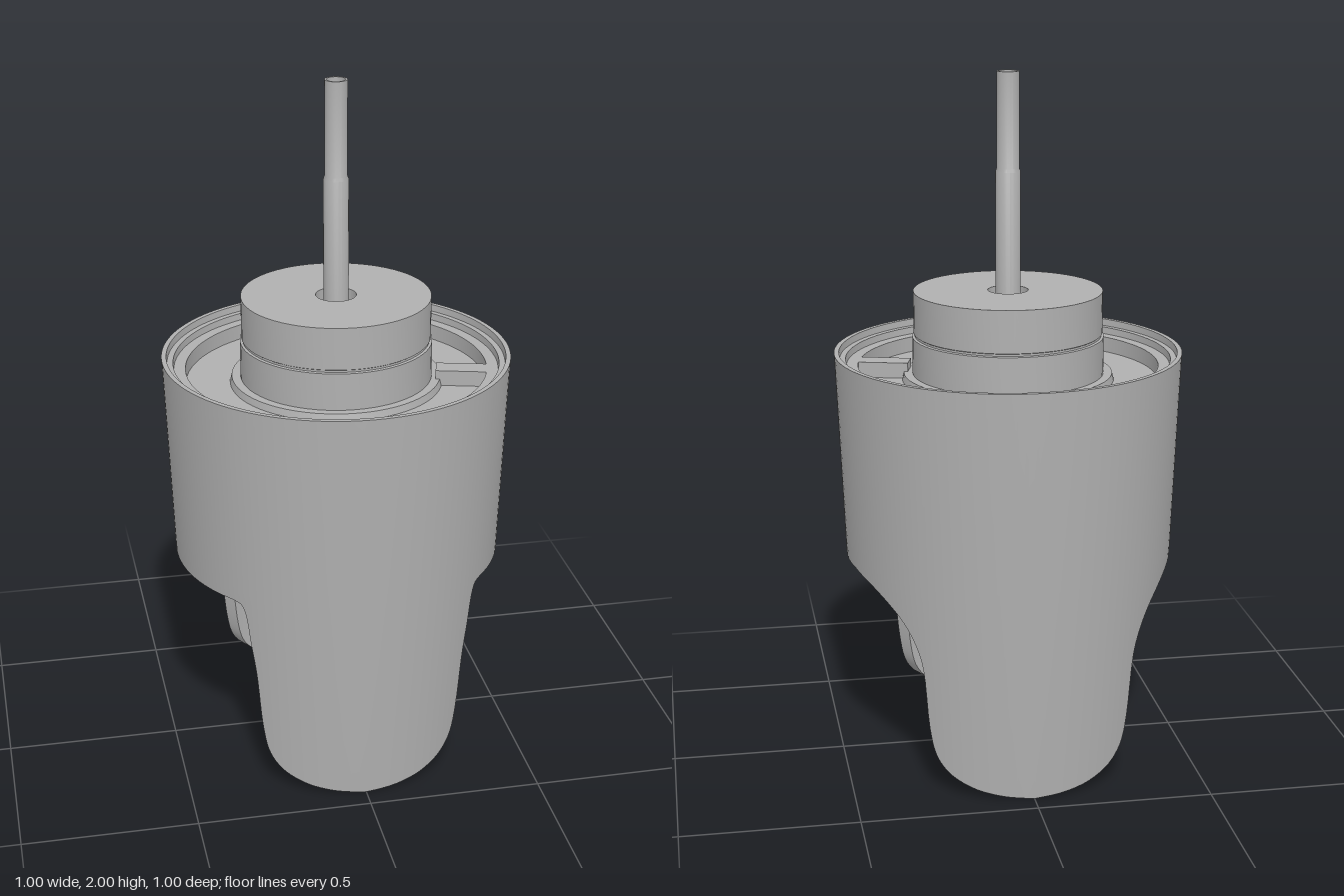
import * as THREE from 'three';
import { toCreasedNormals } from 'three/addons/utils/BufferGeometryUtils.js';

const grey = new THREE.MeshStandardMaterial({ color: 0xb0b0b0 });
grey.name = 'grey';

function add(group, name, geometry) {
  const mesh = new THREE.Mesh(toCreasedNormals(geometry, 0.5), grey);
  mesh.name = name;
  group.add(mesh);
  return mesh;
}

// Solid of revolution from a closed [radius, height] profile
const lathe = (pts, n = 64) =>
  new THREE.LatheGeometry([...pts, pts[0]].map(([r, y]) => new THREE.Vector2(r, y)), n);

// Outer radius of the tapered shell at height y
const shellRadius = y => y < 0.63
  ? THREE.MathUtils.lerp(0.44, 0.477, y / 0.63)
  : THREE.MathUtils.lerp(0.477, 0.5, (y - 0.63) / 0.57);

// Lower edge of half a leg: [x, y] points turned into [angle, y] samples
function legEdge(pts, n) {
  const curve = new THREE.CatmullRomCurve3(
    pts.map(([x, y]) => new THREE.Vector3(Math.asin(x / shellRadius(y)), y, 0)));
  return curve.getPoints(n).map(p => [p.x, p.y]);
}

// Tapered cup wall that runs down into two legs, swept around the axis
function shellGeometry() {
  const tip = [[0, 0], [0.1, 0.012], [0.18, 0.035], [0.24, 0.075], [0.27, 0.125], [0.285, 0.2], [0.302, 0.38]];
  const front = legEdge([...tip, [0.315, 0.47], [0.328, 0.565], [0.338, 0.595], [0.36, 0.605]], 44);
  const back = legEdge([...tip, [0.32, 0.445], [0.35, 0.505], [0.39, 0.553], [0.43, 0.587], [0.462, 0.605]], 44);
  const a0 = front[front.length - 1][0];
  const a1 = Math.PI - back[back.length - 1][0];
  const arch = [];
  for (let i = 1; i < 16; i++) arch.push([a0 + (a1 - a0) * i / 16, 0.605]);
  const half = [...front, ...arch, ...back.map(([a, y]) => [Math.PI - a, y]).reverse()];
  const edge = [...half, ...half.slice(1, -1).reverse().map(([a, y]) => [2 * Math.PI - a, y])];

  const pos = [], idx = [], wall = 0.045;
  let m = 0;
  for (const [a, low] of edge) {
    const r = shellRadius(low);
    const loop = [[r, low], [0.477, 0.63], [0.5, 1.205], [0.486, 1.205], [0.484, 1.185], [0.467, 1.185],
      [0.465, 1.165], [0.432, 1.165], [0.43, 1.0], [0.432, 0.63], [r - wall, low]];
    m = loop.length;
    for (const [q, y] of loop) pos.push(q * Math.sin(a), y, q * Math.cos(a));
  }
  const n = edge.length;
  for (let i = 0; i < n; i++) for (let j = 0; j < m; j++) {
    const i2 = (i + 1) % n, j2 = (j + 1) % m;
    const p = i * m + j, q = i2 * m + j, s = i2 * m + j2, t = i * m + j2;
    idx.push(p, q, s, p, s, t);
  }
  const g = new THREE.BufferGeometry();
  g.setAttribute('position', new THREE.Float32BufferAttribute(pos, 3));
  g.setIndex(idx);
  return g;
}

export function createModel() {
  const model = new THREE.Group();
  model.name = 'housing';

  add(model, 'shell', shellGeometry());

  // Deck that closes the cup, with a raised collar round the hub
  add(model, 'deck', lathe([[0.03, 0.88], [0.436, 0.88], [0.436, 1.12], [0.305, 1.12], [0.3, 1.14], [0.03, 1.14]]));

  // Hub with a thin seam and a hole for the stem
  add(model, 'hub', lathe([[0.058, 1.13], [0.275, 1.13], [0.275, 1.248], [0.268, 1.25], [0.268, 1.256],
    [0.271, 1.258], [0.271, 1.38], [0.058, 1.38]]));

  // Hollow stem, slimmer toward its top
  add(model, 'stem', lathe([[0.026, 1.13], [0.036, 1.13], [0.036, 1.72], [0.032, 1.73], [0.032, 2], [0.026, 2]], 24));

  // Small rib between the hub collar and the wall
  const rib = add(model, 'deckRib', new THREE.BoxGeometry(0.15, 0.05, 0.062));
  rib.position.set(0.35, 1.14, 0.092);
  rib.rotation.y = -0.27;

  // Flat plate inside the front leg
  const outline = new THREE.Shape([[-0.22, 0.2], [0.22, 0.2], [0.26, 0.25], [0.275, 0.4], [0.275, 0.64],
    [0.2, 0.74], [0.1, 0.775], [-0.1, 0.775], [-0.2, 0.74], [-0.275, 0.64], [-0.275, 0.4], [-0.26, 0.25]]
    .map(p => new THREE.Vector2(...p)));
  const plate = add(model, 'innerPlate', new THREE.ExtrudeGeometry(outline, { depth: 0.03, bevelEnabled: false }));
  plate.position.z = 0.31;

  // Stepped round knob on the plate, facing the back leg
  const knob = add(model, 'knob', lathe([[0, 0], [0.21, 0], [0.21, 0.03], [0.2, 0.033], [0.2, 0.042],
    [0.205, 0.045], [0.205, 0.052], [0.183, 0.055], [0.183, 0.15], [0, 0.15]], 48));
  knob.rotation.x = -Math.PI / 2;
  knob.position.set(0, 0.503, 0.315);

  // Block hanging from the deck above the knob
  const block = add(model, 'hangingBlock', new THREE.BoxGeometry(0.1, 0.1, 0.1));
  block.position.set(0, 0.84, 0.27);

  return model;
}
